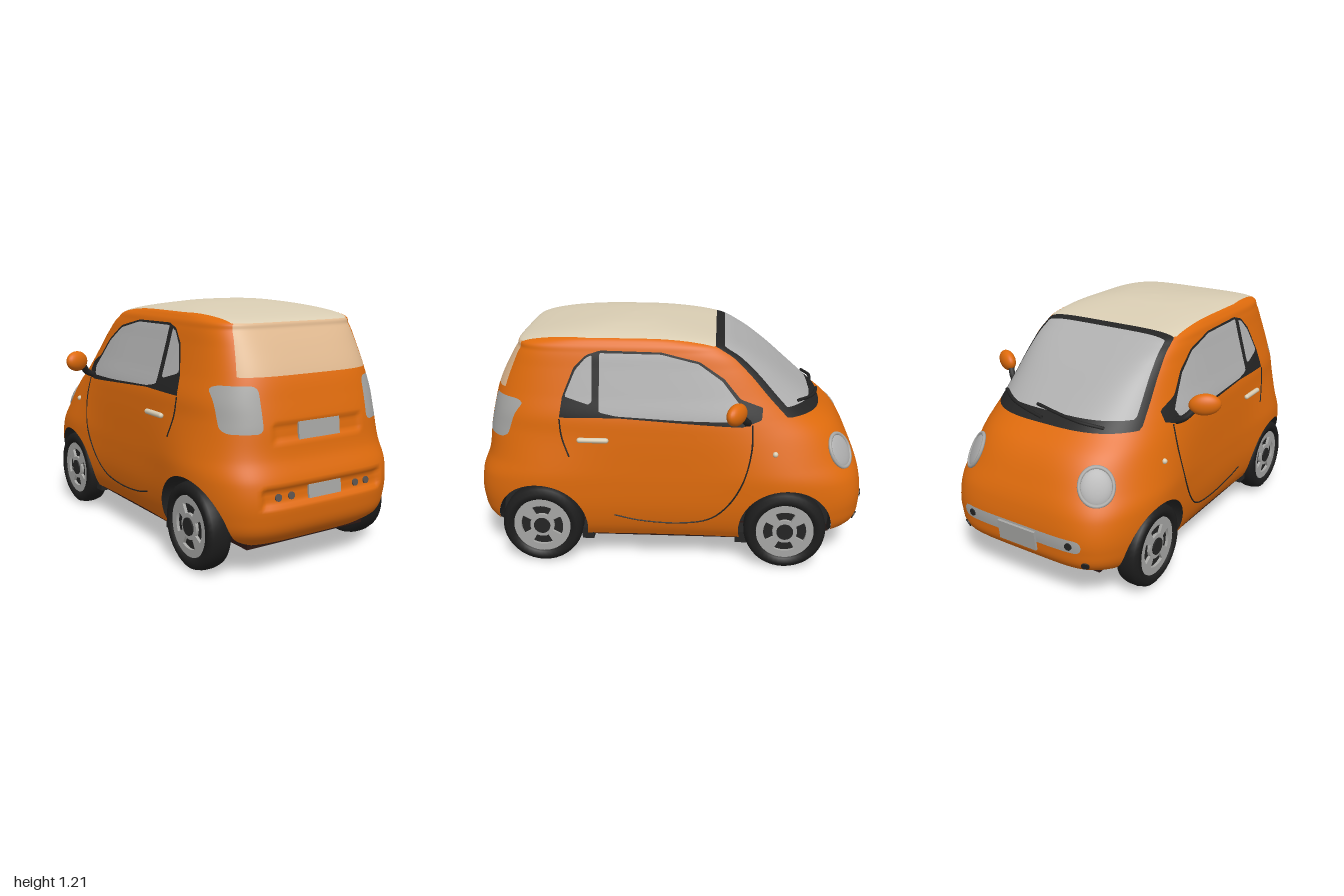
import * as THREE from 'three';

const mat = (name, color, side = THREE.FrontSide) => {
  const m = new THREE.MeshStandardMaterial({ color, side });
  m.name = name;
  return m;
};

// Body slices by height: y -> front z, rear z, half width, front and rear squareness
const SLICES = [
  [0.15, -0.86, 0.90, 0.47, 5, 5], [0.20, -0.955, 0.965, 0.495, 5.5, 5.5],
  [0.30, -0.99, 0.998, 0.518, 5.5, 5.5], [0.45, -0.98, 0.99, 0.526, 5, 5.5],
  [0.55, -0.945, 0.955, 0.525, 4, 5], [0.70, -0.86, 0.935, 0.52, 3.4, 4.6],
  [0.79, -0.76, 0.915, 0.512, 3.2, 4.5], [0.90, -0.63, 0.885, 0.48, 3.6, 4.5],
  [1.02, -0.48, 0.825, 0.445, 4.5, 5], [1.10, -0.355, 0.775, 0.422, 5.5, 5.5],
  [1.14, -0.27, 0.745, 0.405, 5.5, 5.5], [1.17, -0.13, 0.61, 0.365, 4, 4],
  [1.195, 0.03, 0.42, 0.25, 3, 3], [1.205, 0.11, 0.31, 0.15, 2.5, 2.5], [1.21, 0.2, 0.202, 0.001, 2, 2],
];
const spline = new THREE.CubicInterpolant(SLICES.map(s => s[0]), SLICES.flatMap(s => s.slice(1)), 5);
const slice = y => {
  const [zf, zr, hw, nf, nr] = spline.evaluate(THREE.MathUtils.clamp(y, 0.15, 1.21));
  return { c: (zf + zr) / 2, l: (zr - zf) / 2, hw, nf, nr };
};
const WHEEL_Z = [-0.59, 0.645], WHEEL_Y = 0.21, ARCH = 0.235;
const step = THREE.MathUtils.smoothstep;
const flare = (y, z) => 1 + 0.055 * Math.exp(-(((Math.abs(z - 0.027) - 0.618) / 0.25) ** 2)) * (1 - step(y, 0.48, 0.75));
const soft = (v, half) => 1 - step(Math.abs(v), half - 0.02, half + 0.005);
const recess = (x, y) => 0.022 * soft(x, 0.35) * soft(y - 0.39, 0.045) + 0.012 * soft(x, 0.26) * soft(y - 0.662, 0.045);
const arc = (v, n) => Math.max(0, 1 - Math.abs(v) ** n) ** (1 / n);

// Points on the flank and on the nose (dir -1) or tail (dir 1)
const sideX = (z, y) => {
  const s = slice(y), v = (z - s.c) / s.l;
  return s.hw * arc(v, v < 0 ? s.nf : s.nr) * flare(y, z);
};
const faceZ = (x, y, dir) => {
  const s = slice(y);
  return s.c + dir * s.l * arc(x / s.hw, dir < 0 ? s.nf : s.nr) - (dir > 0 ? recess(x, y) : 0);
};
const insideBody = (x, y, z) => Math.min(y - 0.16, sideX(z, y) - Math.abs(x));

function bodySurface(rows = 110, cols = 240) {
  const pos = [], index = [];
  for (let i = 0; i <= rows; i++) {
    const y = 0.15 + 1.06 * (1 - (1 - i / rows) ** 1.6), s = slice(y);
    for (let j = 0; j < cols; j++) {
      const a = j / cols * Math.PI * 2, c = Math.cos(a), d = Math.sin(a), n = d < 0 ? s.nf : s.nr;
      const r = (Math.abs(c) ** n + Math.abs(d) ** n) ** (-1 / n);
      const z = s.c + s.l * r * d, x = s.hw * r * c * flare(y, z);
      pos.push(x, y, z > 0.8 ? z - recess(x, y) : z);
      if (i < rows) {
        const k = i * cols + j, m = i * cols + (j + 1) % cols;
        index.push(k, k + cols, m, m, k + cols, m + cols);
      }
    }
  }
  const g = new THREE.BufferGeometry();
  g.setAttribute('position', new THREE.Float32BufferAttribute(pos, 3));
  g.setIndex(index);
  g.computeVertexNormals();
  return g;
}

// Triangles as vertex lists, so that surfaces can be split along any line
function toTris(geo) {
  const g = geo.toNonIndexed(), p = g.attributes.position, n = g.attributes.normal, tris = [];
  const v = i => [p.getX(i), p.getY(i), p.getZ(i), n.getX(i), n.getY(i), n.getZ(i)];
  for (let i = 0; i < p.count; i += 3) tris.push([v(i), v(i + 1), v(i + 2)]);
  return tris;
}
function fromTris(tris) {
  const g = new THREE.BufferGeometry(), v = tris.flat();
  g.setAttribute('position', new THREE.Float32BufferAttribute(v.flatMap(a => a.slice(0, 3)), 3));
  g.setAttribute('normal', new THREE.Float32BufferAttribute(v.flatMap(a => a.slice(3)), 3));
  return g;
}
function split(tris, f) {
  const parts = [[], []];
  for (const t of tris) {
    const d = t.map(v => f(v[0], v[1], v[2]));
    parts.forEach((keep, side) => {
      const sign = side ? -1 : 1, poly = [];
      for (let i = 0; i < 3; i++) {
        const j = (i + 1) % 3;
        if (d[i] * sign >= 0) poly.push(t[i]);
        if (d[i] * d[j] < 0) poly.push(t[i].map((c, m) => c + (t[j][m] - c) * d[i] / (d[i] - d[j])));
      }
      for (let k = 2; k < poly.length; k++) keep.push([poly[0], poly[k - 1], poly[k]]);
    });
  }
  return parts;
}

// Signed distances, positive inside
const roundRect = (u, v, w, h, r) => {
  const a = Math.abs(u) - w + r, b = Math.abs(v) - h + r;
  return r - Math.hypot(Math.max(a, 0), Math.max(b, 0)) - Math.min(Math.max(a, b), 0);
};
const polygon = pts => (u, v) => {
  let best = Infinity, inside = false;
  pts.forEach(([a, b], i) => {
    const [c, d] = pts[(i + 1) % pts.length], ex = c - a, ey = d - b;
    const k = THREE.MathUtils.clamp(((u - a) * ex + (v - b) * ey) / (ex * ex + ey * ey), 0, 1);
    best = Math.min(best, Math.hypot(u - a - ex * k, v - b - ey * k));
    if ((b > v) !== (d > v) && u < a + ex * (v - b) / ey) inside = !inside;
  });
  return inside ? best : -best;
};
const sideFrame = polygon([[0.53, 0.795], [0.515, 0.895], [0.46, 1.03], [0.4, 1.09], [0.33, 1.112], [0.035, 1.107], [-0.15, 1.065],
  [-0.27, 0.985], [-0.35, 0.89], [-0.46, 0.845], [-0.455, 0.79], [-0.365, 0.76], [-0.07, 0.78], [0.25, 0.8]]);
const doorGlass = polygon([[0.335, 1.1], [0.035, 1.097], [-0.145, 1.055], [-0.26, 0.975], [-0.375, 0.83], [-0.35, 0.785],
  [-0.07, 0.792], [0.25, 0.808], [0.335, 0.825]]);
const quarterGlass = polygon([[0.37, 1.09], [0.4, 1.078], [0.452, 1.02], [0.505, 0.895], [0.37, 0.855]]);
const screenEdge = (x, y) => 0.42 - (y - 0.8) * 0.13 - Math.abs(x);

export function createModel() {
  const orange = mat('orange paint', 0xdf6b0c), cream = mat('cream roof', 0xd9cdb3), tan = mat('rear glass', 0xdfb88f);
  const glass = mat('grey glass', 0xafafaf), silver = mat('silver', 0xa6a6a4, THREE.DoubleSide);
  const black = mat('black trim', 0x242424, THREE.DoubleSide), rubber = mat('rubber', 0x1d1d1d, THREE.DoubleSide);
  const brown = mat('underbody brown', 0x2b1713), reflector = mat('dark reflector', 0x5c5450);
  const car = new THREE.Group();
  car.name = 'smallCar';
  const add = (name, geo, m, x = 0, y = 0, z = 0, parent = car) => {
    const mesh = new THREE.Mesh(geo, m);
    mesh.name = name;
    mesh.position.set(x, y, z);
    parent.add(mesh);
    return mesh;
  };
  // Set a part on the nose or tail, facing outwards
  const onFace = (name, geo, m, x, y, dir, lift = 0) => {
    const e = 0.01, z = faceZ(x, y, dir);
    const n = new THREE.Vector3((faceZ(x - e, y, dir) - faceZ(x + e, y, dir)) / (2 * e), (faceZ(x, y - e, dir) - faceZ(x, y + e, dir)) / (2 * e), 1)
      .multiplyScalar(dir).normalize();
    const mesh = add(name, geo, m, x + n.x * lift, y + n.y * lift, z + n.z * lift);
    mesh.lookAt(mesh.position.clone().add(n));
    return mesh;
  };
  const tube = (name, pts, r, m) => add(name, new THREE.TubeGeometry(new THREE.CatmullRomCurve3(pts), 40, r, 6), m);

  // Body shell, split into paint, roof, glass and lights
  let rest = split(toTris(bodySurface()), (x, y, z) =>
    Math.min(Math.abs(x) - 0.3, Math.max(...WHEEL_Z.map(w => ARCH - Math.hypot(z - w, y - WHEEL_Y)))))[1];
  const cut = f => { const [a, b] = split(rest, f); rest = b; return a; };
  const panel = (name, tris, m) => add(name, fromTris(tris), m);
  panel('roof', cut((x, y, z) => Math.min(z + 0.225, y - 1.13 + Math.max(0, 0.5 - z), 0.38 - Math.max(0, z - 0.4) * 0.12 - Math.abs(x))), cream);
  panel('rearWindow', cut((x, y, z) => Math.min(z - 0.5, y - 0.905, 1.13 - y, 0.375 - (y - 0.91) * 0.17 - Math.abs(x))), tan);
  const screen = split(cut((x, y, z) => Math.min(y - 0.785, -0.225 - z, screenEdge(x, y))),
    (x, y, z) => Math.min(y - 0.83, -0.27 - z, screenEdge(x, y) - 0.025));
  panel('windscreen', screen[0], glass);
  panel('windscreenFrame', screen[1], black);
  const sides = split(cut((x, y, z) => Math.min(Math.abs(x) - 0.3, sideFrame(z, y))), (x, y, z) => Math.max(doorGlass(z, y), quarterGlass(z, y)));
  panel('sideWindows', sides[0], glass);
  panel('sideWindowFrames', sides[1], black);
  panel('tailLights', cut((x, y, z) => Math.min(z - 0.6, roundRect(Math.abs(x) - 0.38, y - 0.767, 0.077, 0.102, 0.03))), silver);
  panel('grilleBar', cut((x, y, z) => Math.min(-0.7 - z, roundRect(x, y - 0.33, 0.35, 0.032, 0.03))), silver);
  panel('bodyPaint', rest, orange);

  // Floor and axles
  add('floorCentre', new THREE.BoxGeometry(0.7, 0.04, 1.7), brown, 0, 0.15, 0.02);
  add('floorSills', new THREE.BoxGeometry(0.94, 0.03, 0.76), brown, 0, 0.158, 0.03);
  WHEEL_Z.forEach(z => add('axle', new THREE.CylinderGeometry(0.02, 0.02, 0.82, 12).rotateZ(Math.PI / 2), silver, 0, 0.14, z));

  // Tail: number plates and reflectors
  onFace('rearPlate', new THREE.BoxGeometry(0.24, 0.08, 0.012), silver, 0, 0.662, 1, 0.004);
  onFace('bumperPlate', new THREE.BoxGeometry(0.19, 0.062, 0.012), silver, 0, 0.39, 1, 0.004);
  // Nose plate
  onFace('nosePlate', new THREE.BoxGeometry(0.22, 0.1, 0.012), silver, 0, 0.305, -1, 0.006);

  const disc = (r, d) => new THREE.CylinderGeometry(r, r, d, 20).rotateX(Math.PI / 2);
  const rimShape = new THREE.Shape().absarc(0, 0, 0.145, 0, Math.PI * 2);
  for (let i = 0; i < 4; i++) {
    const a = i * Math.PI / 2 - 0.5, b = a + 1;
    rimShape.holes.push(new THREE.Path().absarc(0, 0, 0.108, a, b, false).absarc(0, 0, 0.062, b, a, true));
  }
  const rimGeo = new THREE.ExtrudeGeometry(rimShape, { depth: 0.015, bevelEnabled: false, curveSegments: 24 });
  const tyreGeo = new THREE.LatheGeometry([[0.13, -0.06], [0.18, -0.06], [0.2, -0.047], [0.207, -0.02], [0.207, 0.02], [0.2, 0.047],
    [0.18, 0.06], [0.15, 0.058], [0.142, 0.03]].map(p => new THREE.Vector2(...p)), 40).rotateX(Math.PI / 2);

  for (const s of [1, -1]) {
    for (const wz of WHEEL_Z) {
      // Wheels
      const wheel = new THREE.Group();
      wheel.name = 'wheel';
      wheel.position.set(s * 0.465, WHEEL_Y - 0.003, wz);
      wheel.rotation.y = s * Math.PI / 2;
      car.add(wheel);
      add('tyre', tyreGeo, rubber, 0, 0, 0, wheel);
      add('rim', rimGeo, silver, 0, 0, 0.035, wheel);
      add('rimBack', disc(0.145, 0.07), black, 0, 0, -0.01, wheel);
      add('hub', disc(0.042, 0.01), black, 0, 0, 0.052, wheel);
      // Wheel arch liners, trimmed to the body
      const liner = new THREE.CylinderGeometry(ARCH, ARCH, 0.24, 40, 12, true).rotateZ(Math.PI / 2).translate(s * 0.46, WHEEL_Y, wz);
      const wall = new THREE.CircleGeometry(ARCH, 40).rotateY(Math.PI / 2).translate(s * 0.345, WHEEL_Y, wz);
      panel('archLiner', split([...toTris(liner), ...toTris(wall)], insideBody)[0], black);
    }
    [0.415, -0.37].forEach(z => add('mudFlap', new THREE.BoxGeometry(0.1, 0.06, 0.06), black, s * 0.43, 0.15, z));

    // Mirrors
    const head = add('mirror', new THREE.SphereGeometry(1, 28, 18), orange, s * 0.61, 0.868, -0.33);
    head.scale.set(0.077, 0.053, 0.038);
    head.rotation.set(0, -s * 0.5, s * 0.08);
    tube('mirrorArm', [[0.49, 0.78, -0.39], [0.53, 0.8, -0.38], [0.57, 0.845, -0.35]].map(p => new THREE.Vector3(s * p[0], p[1], p[2])), 0.018, black);

    // Door seams, handle and side repeater
    const seam = pts => tube('doorSeam', pts.map(([z, y]) => new THREE.Vector3(s * sideX(z, y), y, z)), 0.004, black);
    seam([[-0.41, 0.77], [-0.41, 0.65], [-0.37, 0.48], [-0.29, 0.34], [-0.2, 0.265], [-0.05, 0.237], [0.15, 0.25], [0.27, 0.28]]);
    seam([[0.53, 0.79], [0.52, 0.7], [0.485, 0.6]]);
    add('doorHandle', new THREE.CapsuleGeometry(0.013, 0.13, 6, 12).rotateX(Math.PI / 2), cream, s * (sideX(0.365, 0.69) + 0.012), 0.69, 0.365);
    add('sideRepeater', new THREE.SphereGeometry(0.014, 12, 8), cream, s * sideX(-0.525, 0.628), 0.628, -0.525);

    // Headlights and fog lamps
    onFace('headlightLens', new THREE.SphereGeometry(1, 28, 16), glass, s * 0.36, 0.595, -1).scale.set(0.075, 0.085, 0.016);
    onFace('headlightRing', new THREE.TorusGeometry(0.078, 0.009, 8, 32).scale(1, 1.12, 1), silver, s * 0.36, 0.595, -1, 0.003);
    onFace('fogLamp', disc(0.02, 0.01), black, s * 0.36, 0.235, -1);
    onFace('grilleEnd', disc(0.018, 0.01), black, s * 0.29, 0.33, -1);
    [0.19, 0.26].forEach(x => onFace('reflector', disc(0.017, 0.014), reflector, s * x, 0.387, 1));
  }

  // Wipers
  [[-0.3, 0.08], [0.02, 0.34]].forEach(([a, b]) => tube('wiper', [0, 0.33, 0.67, 1].map(t => {
    const x = a + (b - a) * t, y = 0.8 + 0.04 * t;
    return new THREE.Vector3(x, y + 0.01, faceZ(x, y, -1) - 0.012);
  }), 0.009, black));
  return car;
}
